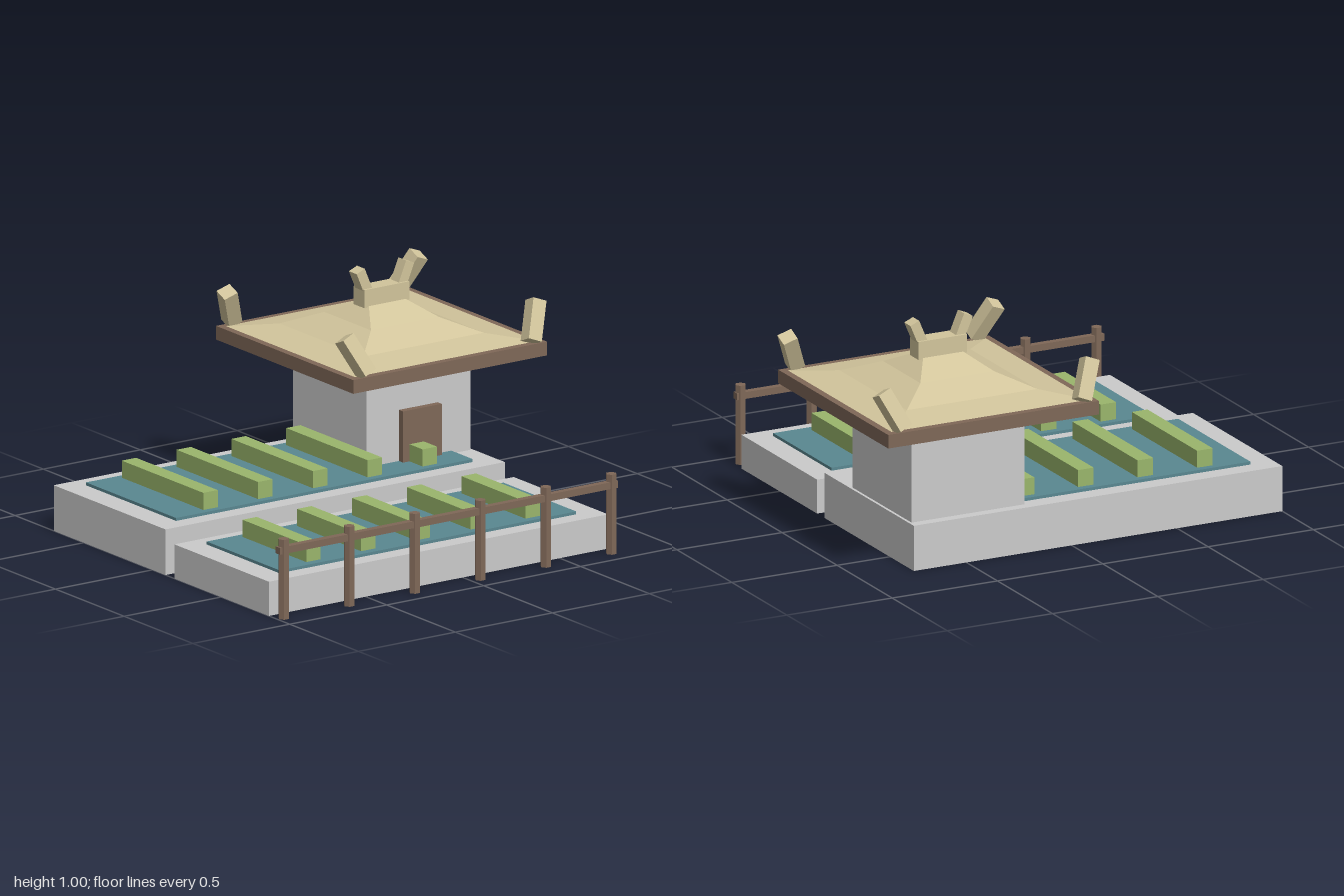
import * as THREE from 'three';

const mat = (color, extra = {}) => new THREE.MeshStandardMaterial({ color, flatShading: true, ...extra });

export function createModel() {
  const model = new THREE.Group();
  const grey = mat(0xcccccc), wood = mat(0x7f6858), water = mat(0x5a8891);
  const crop = mat(0x9ab66c), thatch = mat(0xd2c59c), thatchOpen = mat(0xd2c59c, { side: THREE.DoubleSide });

  const add = (name, geometry, material, x, y, z, parent = model) => {
    const mesh = new THREE.Mesh(geometry, material);
    mesh.name = name;
    mesh.position.set(x, y, z);
    parent.add(mesh);
    return mesh;
  };
  // Box given by its limits on each axis
  const block = (name, material, [x0, x1], [y0, y1], [z0, z1], parent) =>
    add(name, new THREE.BoxGeometry(x1 - x0, y1 - y0, z1 - z0), material,
      (x0 + x1) / 2, (y0 + y1) / 2, (z0 + z1) / 2, parent);

  // Two terraces, each with a flooded bed and five crop rows
  const terraces = [
    { name: 'front', h: 0.15, base: [0.16, 0.848], bed: [0.24, 0.77], rows: [0.27, 0.735] },
    { name: 'back', h: 0.2, base: [-0.718, 0.095], bed: [-0.638, 0.017], rows: [-0.608, -0.014] },
  ];
  for (const { name, h, base, bed, rows } of terraces) {
    block(name + 'Terrace', grey, [-1, 0.75], [0, h], base);
    block(name + 'Water', water, [-0.89, 0.64], [h, h + 0.013], bed);
    for (let i = 0; i < 5; i++) {
      const x = -0.69 + i * 0.2825;
      block(name + 'CropRow', crop, [x - 0.037, x + 0.037], [h + 0.01, h + 0.088], rows);
    }
  }

  // Fence with hexagonal posts and one rail
  const fence = new THREE.Group();
  fence.name = 'fence';
  model.add(fence);
  const post = new THREE.CylinderGeometry(0.024, 0.024, 0.35, 6).rotateY(Math.PI / 6);
  for (let i = 0; i < 6; i++) add('fencePost', post, wood, -0.97 + i * 0.338, 0.175, 0.913, fence);
  block('fenceRail', wood, [-1, 0.745], [0.287, 0.317], [0.898, 0.928], fence);

  // House, centred on its own origin
  const house = new THREE.Group();
  house.name = 'house';
  house.position.set(0.47, 0, -0.407);
  model.add(house);
  block('walls', grey, [-0.268, 0.268], [0.2, 0.64], [-0.268, 0.268], house);
  block('door', wood, [-0.1, 0.1], [0.21, 0.437], [0.26, 0.298], house);

  // Eave beams form an open square frame
  for (const s of [-1, 1]) {
    const out = s < 0 ? [-0.5, -0.45] : [0.45, 0.5];
    block('eaveBeam', wood, [-0.5, 0.5], [0.63, 0.69], out, house);
    block('eaveBeam', wood, out, [0.63, 0.69], [-0.45, 0.45], house);
  }

  // Concave hipped roof: rings of half width, half depth and height
  const rings = [[0.47, 0.47, 0.691], [0.31, 0.305, 0.715], [0.175, 0.17, 0.775], [0.095, 0.042, 0.837]];
  const corner = ([w, d, y], k) => [[w, y, d], [w, y, -d], [-w, y, -d], [-w, y, d]][k % 4];
  const pos = [];
  for (let i = 0; i < rings.length - 1; i++) {
    for (let k = 0; k < 4; k++) {
      const a = corner(rings[i], k), b = corner(rings[i], k + 1);
      const c = corner(rings[i + 1], k + 1), d = corner(rings[i + 1], k);
      pos.push(...a, ...b, ...c, ...a, ...c, ...d);
    }
  }
  const roof = new THREE.BufferGeometry();
  roof.setAttribute('position', new THREE.Float32BufferAttribute(pos, 3));
  roof.computeVertexNormals();
  add('roof', roof, thatchOpen, 0, 0, 0, house);

  // Ridge block with tilted finials, and a leaning horn on each roof corner
  block('ridge', thatch, [-0.115, 0.115], [0.83, 0.91], [-0.04, 0.04], house);
  const finial = new THREE.BoxGeometry(0.045, 0.12, 0.057);
  const horn = new THREE.BoxGeometry(0.065, 0.18, 0.065);
  for (const sx of [-1, 1]) {
    add('ridgeFinial', finial, thatch, sx * 0.104, 0.936, 0, house).rotation.z = -sx * 0.4;
    for (const sz of [-1, 1]) {
      add('cornerHorn', horn, thatch, sx * 0.459, 0.779, sz * 0.459, house)
        .rotation.set(-sz * 0.4, 0, -sx * 0.4);
    }
  }
  return model;
}
